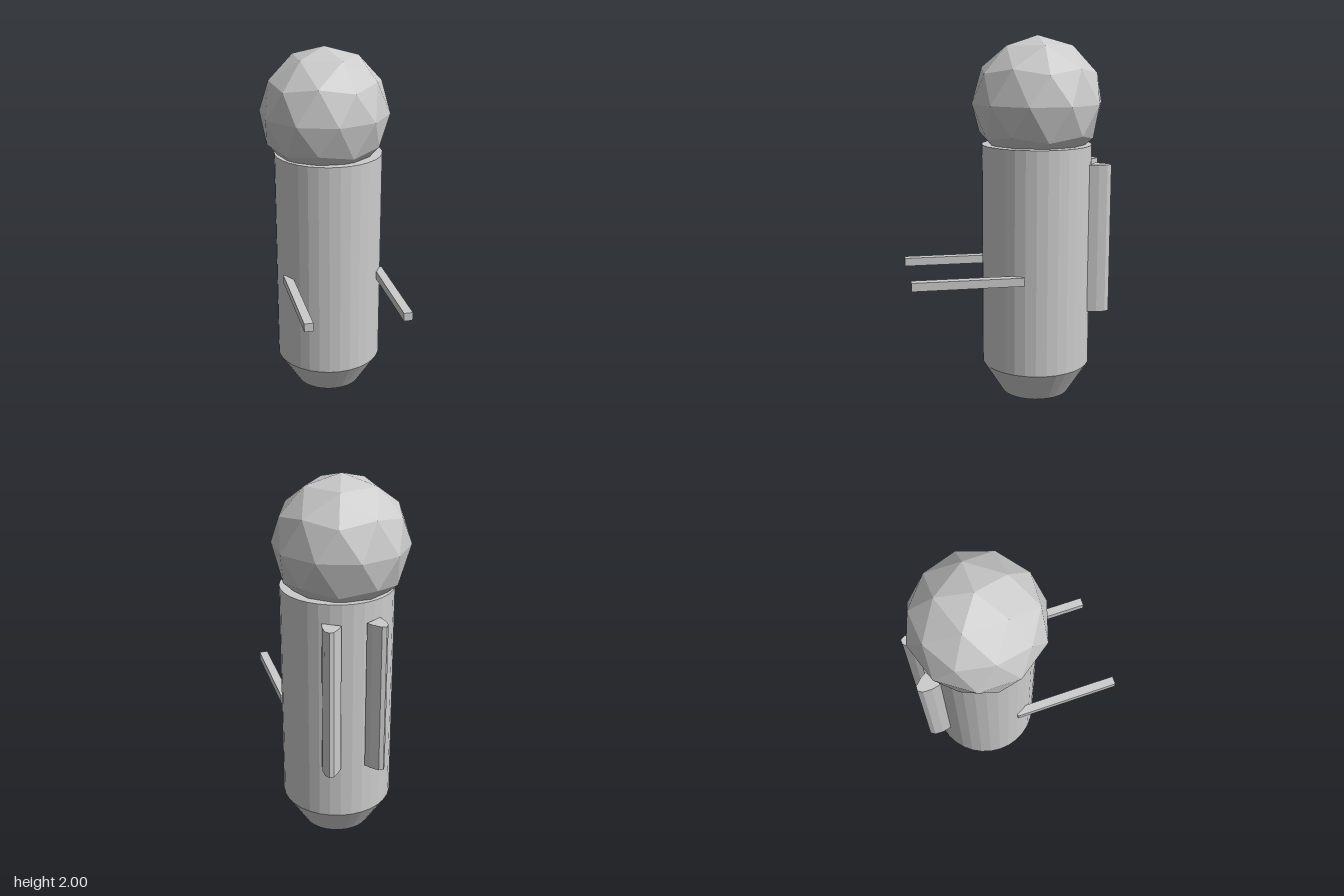
import * as THREE from 'three';

export function createModel() {
  const model = new THREE.Group();
  const mat = new THREE.MeshStandardMaterial({ color: 0xcccccc, flatShading: true });
  const axisX = 0.02, axisZ = -0.17; // vertical axis of the body

  const add = (name, geometry, x = 0, y = 0, z = 0) => {
    const mesh = new THREE.Mesh(geometry, mat);
    mesh.name = name;
    mesh.position.set(x, y, z);
    model.add(mesh);
  };

  // Body: straight cylinder over a tapered base, closed at both ends
  const profile = [[0, 0], [0.19, 0], [0.302, 0.177], [0.302, 1.415], [0, 1.415]];
  add('body', new THREE.LatheGeometry(profile.map(p => new THREE.Vector2(...p)), 32), axisX, 0, axisZ);

  // Head: faceted ball turned so that one corner points straight up
  const head = new THREE.IcosahedronGeometry(0.362, 1);
  head.rotateZ(-Math.atan(2 / (1 + Math.sqrt(5))));
  add('head', head, 0, 1.638, -0.176);

  // Cross-section of a back tank: [distance from the body axis in x, depth behind z = 0]
  const section = [
    [0.066, 0.484], [0.085, 0.514], [0.123, 0.552], [0.148, 0.554],
    [0.164, 0.528], [0.165, 0.48], [0.154, 0.43],
  ];

  for (const side of [-1, 1]) {
    const label = side > 0 ? 'left' : 'right';

    // Arms: thin square bars reaching forward
    add(label + 'Arm', new THREE.BoxGeometry(0.048, 0.046, 0.6), axisX + side * 0.264, 0.713, 0.25);

    // Back tanks: upright rounded bars
    const shape = new THREE.Shape(section.map(([x, d]) => new THREE.Vector2(axisX + side * x, d)));
    const tank = new THREE.ExtrudeGeometry(shape, { depth: 0.825, bevelEnabled: false });
    tank.rotateX(-Math.PI / 2);
    add(label + 'BackTank', tank, 0, 0.487, 0);
  }
  return model;
}
